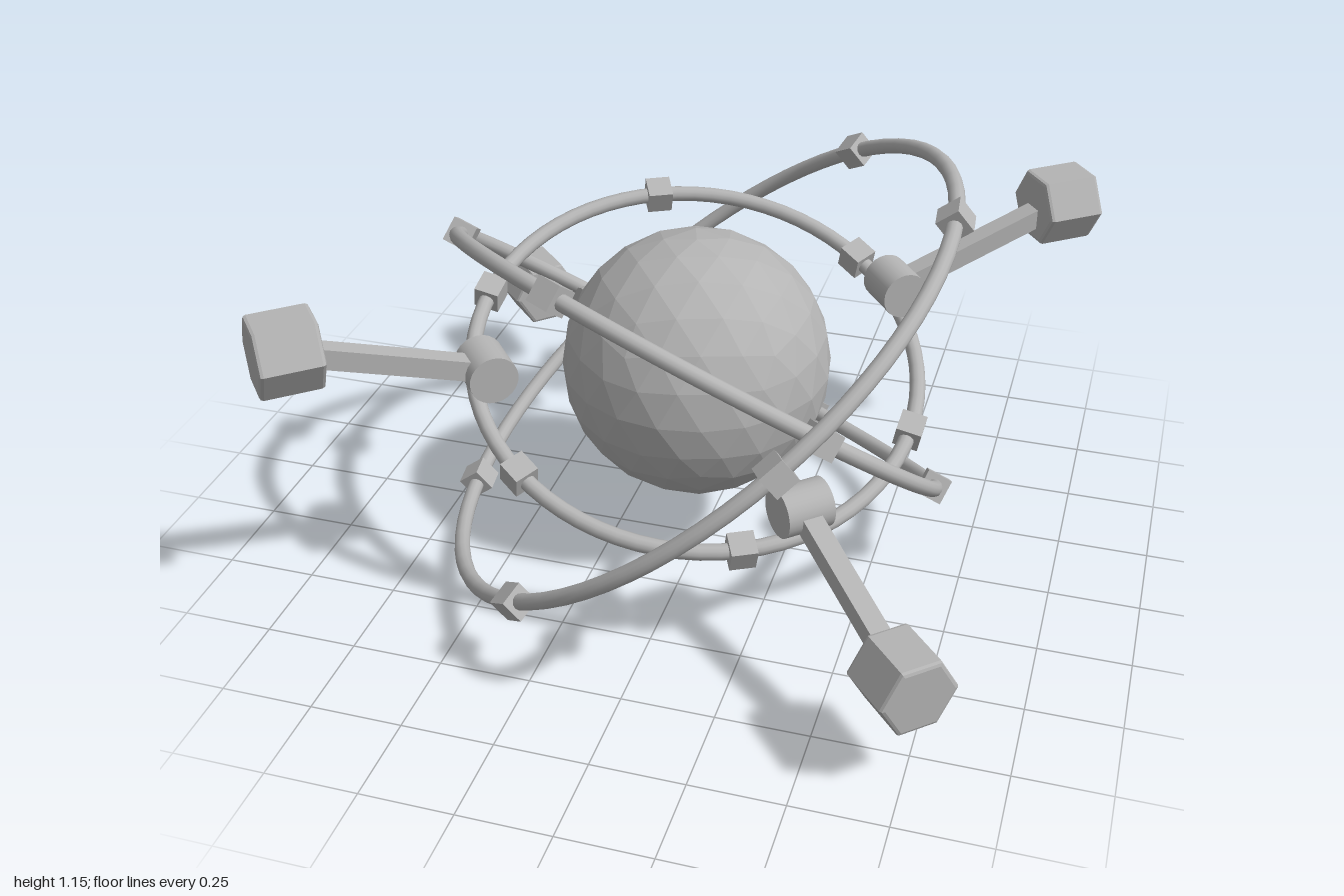
import * as THREE from 'three';

export function createModel() {
  const model = new THREE.Group();
  const grey = new THREE.MeshStandardMaterial({ color: 0xb4b4b4 });
  grey.name = 'grey';
  const centre = new THREE.Vector3(-0.02, 0.575, -0.015);

  const add = (parent, name, geometry) => {
    const mesh = new THREE.Mesh(geometry, grey);
    mesh.name = name;
    parent.add(mesh);
    return mesh;
  };

  // Faceted core, one icosahedron vertex pointing up
  const coreGeo = new THREE.IcosahedronGeometry(0.37, 3);
  coreGeo.rotateZ(Math.atan(2 / (1 + Math.sqrt(5))));
  coreGeo.computeVertexNormals();
  add(model, 'core', coreGeo).position.copy(centre);

  // Tilted rings, each given by two perpendicular radii, with six cube nodes
  const rings = [
    ['largeRing', 0.857, [0.68, 0.521, 0], [0.081, -0.096, 0.849]],
    ['middleRing', 0.737, [0.675, -0.29, 0], [0.155, 0.352, 0.629]],
    ['smallRing', 0.614, [0.6, -0.122, 0], [-0.04, -0.207, 0.577]],
  ];
  const nodeGeo = new THREE.BoxGeometry(0.07, 0.07, 0.07);
  for (const [name, radius, a, b] of rings) {
    const u = new THREE.Vector3(...a).normalize();
    const w = new THREE.Vector3().crossVectors(u, new THREE.Vector3(...b)).normalize();
    const v = new THREE.Vector3().crossVectors(w, u);
    const ring = new THREE.Group();
    ring.name = name;
    ring.quaternion.setFromRotationMatrix(new THREE.Matrix4().makeBasis(u, v, w));
    ring.position.copy(centre);
    add(ring, 'ringTube', new THREE.TorusGeometry(radius, 0.022, 12, 72));
    for (let i = 0; i < 6; i++) {
      const t = (i * Math.PI) / 3;
      const node = add(ring, 'ringNode', nodeGeo);
      node.position.set(radius * Math.cos(t), radius * Math.sin(t), 0);
      node.rotation.z = t;
    }
    model.add(ring);
  }

  // Hexagonal end block: flats up and down, axis along z, softened rims
  const bevel = 0.01, length = 0.166;
  const hex = new THREE.Shape();
  for (let i = 0; i < 6; i++) {
    const t = (i * Math.PI) / 3, r = 0.108 - bevel * 1.155;
    hex[i ? 'lineTo' : 'moveTo'](r * Math.cos(t), r * Math.sin(t));
  }
  hex.closePath();
  const blockGeo = new THREE.ExtrudeGeometry(hex, {
    depth: length - 2 * bevel, bevelEnabled: true,
    bevelSize: bevel, bevelThickness: bevel, bevelSegments: 2,
  });
  blockGeo.translate(0, 0, bevel - length / 2);

  // Horizontal hinge drum
  const hingeGeo = new THREE.CylinderGeometry(0.066, 0.066, 0.132, 24);
  hingeGeo.rotateZ(Math.PI / 2);

  // Four arms: azimuth from +z toward +x, and whether the arm rises or dips
  const arms = [
    ['frontLeftArm', 0.745, 0.82, -1],
    ['frontRightArm', -0.85, 0.715, 1],
    ['backLeftArm', 0.884, -0.675, 1],
    ['backRightArm', -0.785, -0.795, -1],
  ];
  for (const [name, x, z, side] of arms) {
    const arm = new THREE.Group();
    arm.name = name;
    arm.position.copy(centre);
    arm.rotation.y = Math.atan2(x, z);
    const hingeAt = new THREE.Vector3(0, 0.115 * side, 0.6);
    const blockAt = new THREE.Vector3(0, 0.287 * side, 1.11);
    add(arm, 'hinge', hingeGeo).position.copy(hingeAt);
    add(arm, 'endBlock', blockGeo).position.copy(blockAt);
    const d = blockAt.clone().sub(hingeAt);
    const bar = add(arm, 'bar', new THREE.BoxGeometry(0.055, 0.055, d.length()));
    bar.position.copy(hingeAt).addScaledVector(d, 0.5);
    bar.rotation.x = -Math.atan2(d.y, d.z);
    model.add(arm);
  }

  return model;
}
